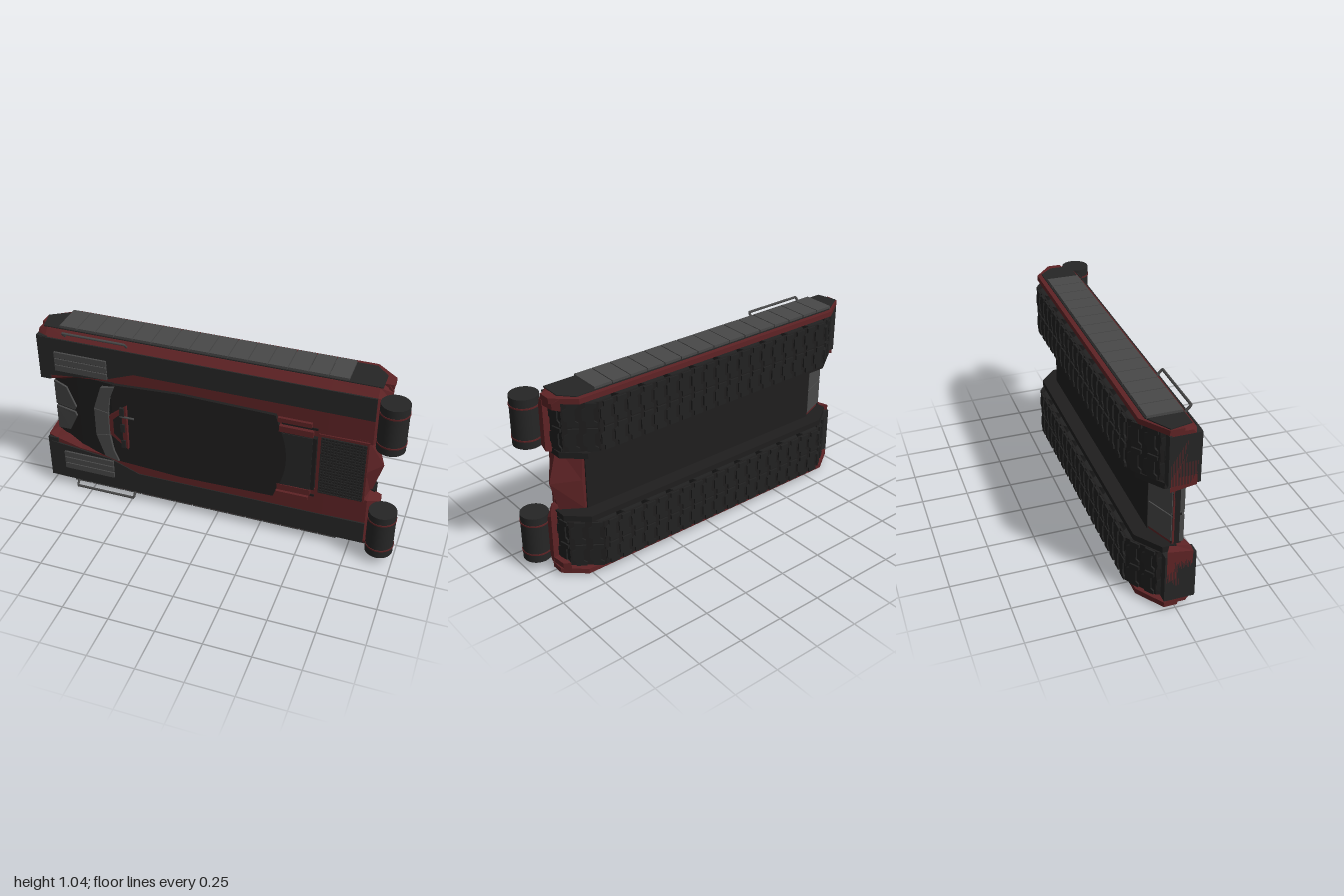
import * as THREE from 'three';

const mat = (name, color) => {
  const m = new THREE.MeshStandardMaterial({ color });
  m.name = name;
  return m;
};

// Solid skinned over rings of [x, y, z] points, flat shaded, faces turned outward
function loft(rings) {
  const pos = [], n = rings[0].length;
  const tri = (a, b, c) => pos.push(...a, ...b, ...c);
  for (let i = 0; i + 1 < rings.length; i++) {
    for (let j = 0; j < n; j++) {
      const k = (j + 1) % n;
      tri(rings[i][j], rings[i][k], rings[i + 1][k]);
      tri(rings[i][j], rings[i + 1][k], rings[i + 1][j]);
    }
  }
  const last = rings[rings.length - 1];
  for (let j = 1; j + 1 < n; j++) {
    tri(rings[0][0], rings[0][j + 1], rings[0][j]);
    tri(last[0], last[j], last[j + 1]);
  }
  const g = new THREE.BufferGeometry();
  g.setAttribute('position', new THREE.Float32BufferAttribute(pos, 3));
  let volume = 0;
  const [a, b, c] = [0, 0, 0].map(() => new THREE.Vector3());
  for (let i = 0; i < pos.length; i += 9) {
    volume += a.fromArray(pos, i).dot(b.fromArray(pos, i + 3).cross(c.fromArray(pos, i + 6)));
  }
  if (volume < 0) flip(g);
  g.computeVertexNormals();
  return g;
}

// Reverse the corner order of every triangle
function flip(g) {
  for (const attr of Object.values(g.attributes)) {
    const s = attr.itemSize, arr = attr.array;
    for (let i = 0; i < arr.length; i += 3 * s) {
      for (let k = 0; k < s; k++) [arr[i + k], arr[i + s + k]] = [arr[i + s + k], arr[i + k]];
    }
  }
}

function mirrored(geo) {
  const g = geo.index ? geo.toNonIndexed() : geo.clone();
  g.scale(1, -1, 1);
  flip(g);
  return g;
}

const outline = (pts) => new THREE.Shape(pts.map(([x, y]) => new THREE.Vector2(x, y)));
const extrude = (pts, depth) => new THREE.ExtrudeGeometry(outline(pts), { depth, bevelEnabled: false });
// Plate lying on the deck: outline in x, y
const plate = (pts, z, t) => extrude(pts, t).translate(0, 0, z);
// Plate standing along the flank: outline in x, z
const sidePlate = (pts, yOuter, t) => extrude(pts, t).rotateX(Math.PI / 2).translate(0, yOuter, 0);
const box = (x0, x1, y0, y1, z0, z1) => new THREE.BoxGeometry(x1 - x0, y1 - y0, z1 - z0)
  .translate((x0 + x1) / 2, (y0 + y1) / 2, (z0 + z1) / 2);
const both = (half) => [...half, ...half.map(([x, y]) => [x, -y]).reverse()];

export function createModel() {
  const root = new THREE.Group();
  root.name = 'trackedHull';
  const red = mat('dark red paint', 0x5e2325);
  const dark = mat('charcoal paint', 0x262626);
  const black = mat('black deck', 0x1f1e1e);
  const shoeMat = mat('track metal', 0x212121);
  const grey = mat('grey armour', 0x484848);

  const add = (name, geo, material) => {
    const m = new THREE.Mesh(geo, material);
    m.name = name;
    m.position.y = 0.518;
    root.add(m);
  };
  const pair = (name, geo, material) => {
    add(name + 'Left', geo, material);
    add(name + 'Right', mirrored(geo), material);
  };

  // Central hull with sloped nose, belly and pointed stern
  add('centralHull', sidePlate([[-0.8, -0.07], [0.72, -0.07], [0.78, 0.09], [-0.56, 0.09], [-0.95, 0.0], [-0.95, -0.01]], 0.168, 0.336), red);
  add('belly', box(-0.8, 0.72, -0.168, 0.168, -0.077, -0.07), black);
  const stern = (z, side, tip, w) => [[0.6, -w, z], [side, -w, z], [tip, 0, z], [side, w, z], [0.6, w, z]];
  add('stern', loft([stern(-0.07, 0.73, 0.74, 0.168), stern(0, 0.83, 0.885, 0.2), stern(0.092, 0.81, 0.81, 0.2)]), red);
  const noseSlope = Math.atan2(0.06, 0.15);
  for (const s of [-1, 1]) {
    add('lowerNosePlate', new THREE.BoxGeometry(0.16, 0.143, 0.008).rotateY(noseSlope)
      .translate(-0.876, s * 0.075, -0.043), grey);
  }

  // Sponsons over the tracks
  const ring = (x, inLow, inTop, out, z0, zMid, zTop) => [
    [x, inLow, z0], [x, out, z0], [x, out, zMid], [x, out - 0.04, zTop], [x, inTop, zTop]];
  pair('sponson', loft([
    ring(-1, 0.17, 0.19, 0.485, -0.05, 0.05, 0.08),
    ring(-0.95, 0.167, 0.2, 0.5, -0.02, 0.055, 0.09),
    ring(-0.8, 0.167, 0.24, 0.5, 0, 0.055, 0.092),
    ring(-0.57, 0.167, 0.255, 0.5, 0, 0.06, 0.095),
    ring(-0.5, 0.167, 0.17, 0.5, 0, 0.06, 0.096),
    ring(0.6, 0.167, 0.17, 0.5, 0, 0.06, 0.096),
    ring(0.83, 0.167, 0.18, 0.5, 0, 0.055, 0.09),
    ring(0.89, 0.19, 0.21, 0.465, 0, 0.025, 0.035),
  ]), red);
  pair('sponsonTop', plate([[-0.98, 0.225], [-0.62, 0.265], [-0.45, 0.33], [0.83, 0.33], [0.83, 0.462], [-0.98, 0.462]], 0.092, 0.009), dark);
  pair('frontFender', box(-1, -0.94, 0.2, 0.465, -0.06, 0.097), dark);

  // Track guards
  const guard = [[-1, -0.06], [-0.86, -0.155], [0.78, -0.155], [0.89, -0.06], [0.89, 0.01], [-1, 0.01]];
  pair('outerGuard', sidePlate(guard, 0.5, 0.028), red);
  pair('rearGuardCap', loft([
    [[0.85, 0.435, -0.1], [0.85, 0.498, -0.1], [0.88, 0.47, -0.07], [0.88, 0.44, -0.07]],
    [[0.85, 0.435, 0.02], [0.87, 0.498, 0.02], [0.89, 0.47, 0.02], [0.89, 0.44, 0.02]],
  ]), red);
  pair('innerGuard', sidePlate(guard.map(([x, z]) => [x * 0.96, z]), 0.198, 0.032), black);
  pair('flankPanel', sidePlate([[-0.995, -0.055], [-0.87, -0.13], [0.78, -0.13], [0.845, -0.06], [0.845, 0.055], [-0.97, 0.055]], 0.505, 0.006), dark);
  for (let i = 0; i < 15; i++) {
    const x = -0.88 + i * 0.104;
    pair('skirtPanel', box(x, x + 0.099, 0.5, 0.518, -0.125, 0.05), grey);
  }

  // Road wheels
  for (let i = 0; i < 10; i++) {
    const x = -0.76 + i * 0.157;
    for (const y of [0.268, 0.402]) {
      pair('roadWheel', new THREE.CylinderGeometry(0.068, 0.068, 0.1, 20).translate(x, y, -0.11), shoeMat);
    }
  }

  // Track belt and its two rows of notched shoes
  const path = [[-0.96, -0.005], [-0.935, -0.075], [-0.79, -0.176], [0.69, -0.176], [0.835, -0.075], [0.85, 0]];
  const shoe = [[-0.036, -0.062], [0.018, -0.062], [0.018, -0.036], [0.036, -0.026], [0.036, 0.026],
    [0.018, 0.036], [0.018, 0.062], [-0.036, 0.062], [-0.036, 0.042], [-0.02, 0.032], [-0.02, -0.032], [-0.036, -0.042]];
  for (let i = 0; i + 1 < path.length; i++) {
    const [x0, z0] = path[i], [x1, z1] = path[i + 1];
    const len = Math.hypot(x1 - x0, z1 - z0), angle = -Math.atan2(z1 - z0, x1 - x0);
    const place = (g, t) => g.rotateY(angle).translate(x0 + (x1 - x0) * t, 0.335, z0 + (z1 - z0) * t);
    pair('trackBelt', place(new THREE.BoxGeometry(len + 0.006, 0.262, 0.01), 0.5), black);
    const count = Math.max(1, Math.round(len / 0.078));
    for (let k = 0; k < count; k++) {
      for (const y of [-0.068, 0.068]) {
        pair('trackShoe', place(extrude(shoe, 0.012).translate(0, y, -0.014), (k + 0.5) / count), shoeMat);
      }
    }
  }

  // Deck and glacis
  add('deck', plate(both([[-0.58, 0.25], [-0.2, 0.272], [0.33, 0.262], [0.36, 0.17], [0.55, 0.165]]), 0.09, 0.025), black);
  const glacisRing = (x, w, z) => [[x, -w, z - 0.05], [x, w, z - 0.05], [x, w, z], [x, -w, z]];
  add('glacis', loft([glacisRing(-0.95, 0.168, 0.035), glacisRing(-0.8, 0.235, 0.07), glacisRing(-0.57, 0.254, 0.115)]), black);
  const nosePlate = (lift) => [[-0.952, 0.008, 0.035], [-0.952, 0.158, 0.035], [-0.87, 0.14, 0.055], [-0.815, 0.03, 0.068], [-0.825, 0.008, 0.066]]
    .map(([x, y, z]) => [x, y, z + lift]);
  pair('upperNosePlate', loft([nosePlate(-0.01), nosePlate(0.012)]), grey);

  // Splash shield and driver hatch
  pair('shieldCentre', plate([[-0.68, 0], [-0.68, 0.085], [-0.6, 0.07], [-0.6, 0]], 0.09, 0.038), grey);
  pair('shieldWing', plate([[-0.68, 0.088], [-0.635, 0.225], [-0.555, 0.245], [-0.585, 0.17], [-0.6, 0.074]], 0.09, 0.038), grey);
  add('driverHatch', plate(both([[-0.59, 0.06], [-0.49, 0.14]]), 0.11, 0.026), red);
  add('hatchInset', plate(both([[-0.565, 0.045], [-0.515, 0.095]]), 0.136, 0.005), black);
  for (const y of [-0.105, 0, 0.105]) add('periscope', box(-0.525, -0.5, y - 0.025, y + 0.025, 0.13, 0.144), dark);
  add('hatchLever', new THREE.CylinderGeometry(0.006, 0.006, 0.08, 8).rotateZ(Math.PI / 2).translate(-0.485, 0.075, 0.14), grey);

  // Slatted lamp covers on the front sponsons
  for (let i = 0; i < 3; i++) {
    pair('lampSlat', box(-0.9, -0.6, 0.272 + i * 0.04, 0.306 + i * 0.04, 0.095, 0.112), grey);
  }
  pair('lampBase', box(-0.89, -0.61, 0.275, 0.38, 0.095, 0.105), dark);

  // Engine deck: side covers, centre panels and grille
  pair('engineCover', box(0.34, 0.52, 0.225, 0.25, 0.09, 0.112), red);
  pair('engineCoverInner', box(0.35, 0.53, 0.17, 0.205, 0.09, 0.118), red);
  pair('coverGap', box(0.36, 0.55, 0.207, 0.22, 0.09, 0.1), black);
  const arc = [];
  for (let i = 0; i <= 10; i++) {
    const y = -0.165 + i * 0.033;
    arc.push([0.395 - 1.1 * y * y, y]);
  }
  add('enginePanel', plate([...arc, [0.53, 0.165], [0.53, -0.165]], 0.11, 0.009), dark);
  add('grilleFrame', box(0.555, 0.815, -0.192, 0.192, 0.085, 0.102), red);
  add('grilleBase', box(0.57, 0.805, -0.178, 0.178, 0.1, 0.105), black);
  for (let i = 0; i <= 14; i++) {
    const x = 0.574 + i * 0.0162;
    add('grilleBar', box(x - 0.003, x + 0.003, -0.178, 0.178, 0.104, 0.111), dark);
  }
  for (let i = 0; i <= 20; i++) {
    const y = -0.175 + i * 0.0175;
    add('grilleCrossBar', box(0.57, 0.805, y - 0.003, y + 0.003, 0.104, 0.109), dark);
  }

  // Rear fuel drums with bands
  const drum = (r, len, y) => new THREE.CylinderGeometry(r, r, len, 28).translate(0.921, y, 0.111);
  pair('fuelDrum', drum(0.074, 0.266, 0.335), dark);
  for (const y of [0.247, 0.42]) pair('drumBand', drum(0.077, 0.008, y), red);
  pair('drumBracket', box(0.82, 0.88, 0.24, 0.43, 0.03, 0.08), red);

  // Side grab rails
  const railPts = [[-0.84, 0.47, 0.07], [-0.84, 0.508, 0.105], [-0.49, 0.508, 0.105], [-0.49, 0.47, 0.07]].map((p) => new THREE.Vector3(...p));
  const rail = new THREE.CurvePath();
  for (let i = 0; i < 3; i++) rail.add(new THREE.LineCurve3(railPts[i], railPts[i + 1]));
  pair('grabRail', new THREE.TubeGeometry(rail, 60, 0.007, 8), grey);

  return root;
}
